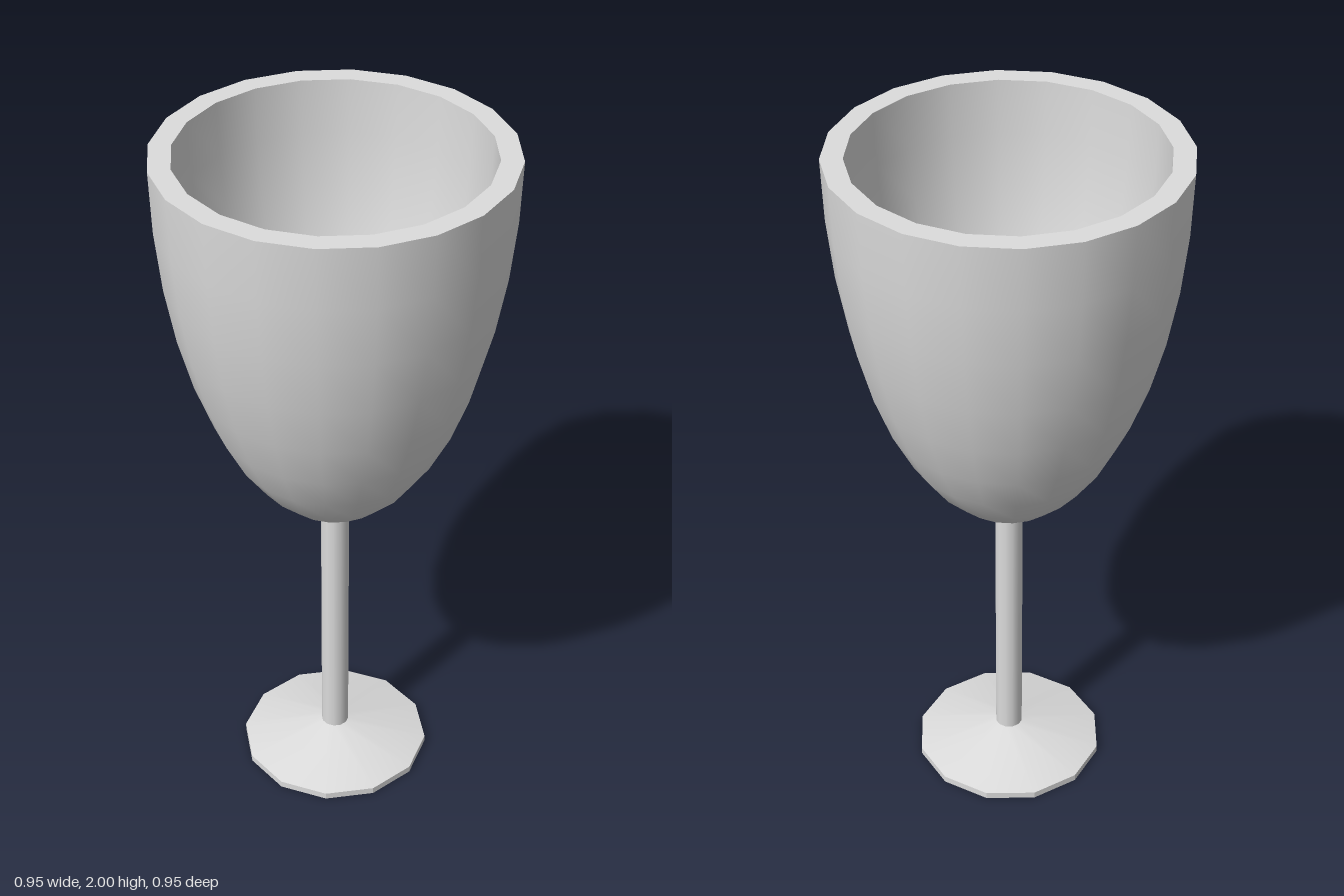
import * as THREE from 'three';

const BOWL_SIDES = 20, STEM_SIDES = 12;
const TOP = 2, RADIUS = 0.475, DEPTH = 1.115, INNER = 0.875;

// Profile of a half ellipsoid, from its lowest point up to the rim
function halfEllipse(radius, depth, steps = 10) {
  const points = [];
  for (let i = 0; i <= steps; i++) {
    const a = (i / steps) * Math.PI / 2;
    points.push([radius * Math.sin(a), TOP - depth * Math.cos(a)]);
  }
  return points;
}

function lathe(name, profile, sides, material, flat = false) {
  let geometry = new THREE.LatheGeometry(profile.map(([r, y]) => new THREE.Vector2(r, y)), sides);
  if (flat) {
    geometry = geometry.toNonIndexed();
    geometry.computeVertexNormals();
  }
  const mesh = new THREE.Mesh(geometry, material);
  mesh.name = name;
  return mesh;
}

export function createModel() {
  const glass = new THREE.MeshStandardMaterial({ color: 0xdcdcdc });
  glass.name = 'light grey';

  // Bowl: outer skin, flat rim and inner skin, with sharp edges between them
  const bowl = new THREE.Group();
  bowl.name = 'bowl';
  bowl.add(
    lathe('bowlOutside', halfEllipse(RADIUS, DEPTH), BOWL_SIDES, glass),
    lathe('bowlRim', [[RADIUS, TOP], [RADIUS * INNER, TOP]], BOWL_SIDES, glass),
    lathe('bowlInside', halfEllipse(RADIUS * INNER, DEPTH * INNER).reverse(), BOWL_SIDES, glass),
  );

  // Stem, running from the foot into the bowl
  const stem = lathe('stem', [[0.04, 0.07], [0.04, 0.9]], STEM_SIDES, glass);

  // Foot: flat underside, thin edge and shallow cone
  const foot = new THREE.Group();
  foot.name = 'foot';
  foot.add(
    lathe('footUnderside', [[0, 0], [0.275, 0]], STEM_SIDES, glass),
    lathe('footEdge', [[0.275, 0], [0.275, 0.02]], STEM_SIDES, glass, true),
    lathe('footCone', [[0.275, 0.02], [0.04, 0.075]], STEM_SIDES, glass),
  );

  const goblet = new THREE.Group();
  goblet.name = 'goblet';
  goblet.add(bowl, stem, foot);
  return goblet;
}
